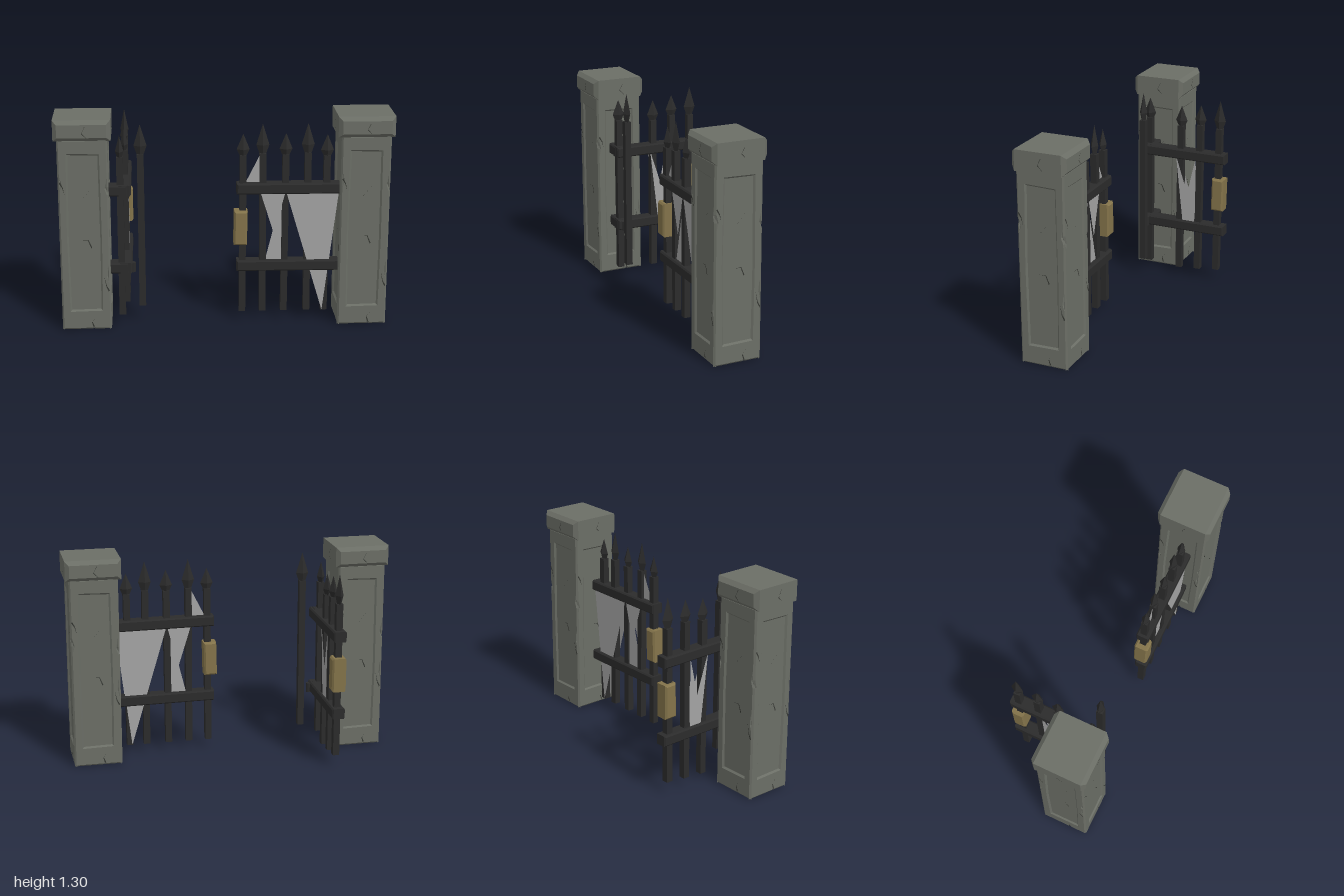
import * as THREE from 'three';

const mat = (name, color, extra = {}) => {
  const m = new THREE.MeshStandardMaterial({ color, ...extra });
  m.name = name;
  return m;
};

export function createModel() {
  const stone = mat('grey stone', 0x6b6e66);
  const dark = mat('dark crack', 0x353732, { side: THREE.DoubleSide });
  const iron = mat('black iron', 0x2b2b2b);
  const brass = mat('old brass', 0x83734a);
  const web = mat('cobweb grey', 0xa3a3a3, { side: THREE.DoubleSide });

  const add = (parent, name, geo, material, x = 0, y = 0, z = 0) => {
    const m = new THREE.Mesh(geo, material);
    m.name = name;
    m.position.set(x, y, z);
    parent.add(m);
    return m;
  };
  const poly = (pts) => new THREE.Shape(pts.map(([x, y]) => new THREE.Vector2(x, y)));

  // Box with chamfered edges, centred on its origin
  const chamferBox = (w, h, d, c) => {
    const x = w / 2 - c, y = h / 2 - c;
    const g = new THREE.ExtrudeGeometry(poly([[-x, -y], [x, -y], [x, y], [-x, y]]), {
      depth: d - 2 * c, bevelEnabled: true, bevelSize: c, bevelThickness: c, bevelSegments: 1,
    });
    return g.translate(0, 0, -d / 2 + c);
  };

  // Tapering crack along a polyline
  const crack = (pts, w = 0.008) => {
    const n = pts.length - 1;
    const side = (s) => pts.map(([x, y], i) => {
      const t = i === 0 ? 0.8 : i === n ? 0.05 : 0.5;
      return [x + s * t * w * 0.5, y + s * t * w * 0.5];
    });
    return new THREE.ShapeGeometry(poly([...side(-1), ...side(1).reverse()]));
  };

  // ---- Stone pillar: core, four framed faces with chipped edges, cap ----
  const H = 0.138;
  function pillar(name, x) {
    const p = new THREE.Group();
    p.name = name;
    p.position.set(x, 0, 0.17);
    add(p, 'pillarCore', new THREE.BoxGeometry(2 * H, 1.18, 2 * H), stone, 0, 0.595, 0);
    for (let i = 0; i < 4; i++) {
      const face = new THREE.Group();
      face.name = 'pillarFace';
      face.rotation.y = i * Math.PI / 2;
      const a = 0.07 * i;
      const frame = poly([
        [-H, 0.013], [0.03, 0.013], [0.04, 0.022], [0.05, 0.013], [H, 0.013],
        [H, 0.3 + a], [H - 0.012, 0.34 + a], [H - 0.008, 0.39 + a], [H, 0.42 + a],
        [H, 0.85 - a], [H - 0.014, 0.89 - a], [H, 0.96 - a], [H, 1.18],
        [-H, 1.18], [-H, 0.97 - a], [-H + 0.013, 0.92 - a], [-H, 0.87 - a],
      ]);
      frame.holes.push(poly([[-0.098, 0.118], [-0.104, 0.6], [-0.095, 1.105],
        [0.098, 1.1], [0.102, 0.55], [0.097, 0.122]]));
      add(face, 'panelFrame', new THREE.ExtrudeGeometry(frame, {
        depth: 0.001, bevelEnabled: true, bevelSize: 0.01, bevelThickness: 0.01, bevelSegments: 1,
      }), stone, 0, 0, H - 0.001);
      // Cracks on panel and frame
      add(face, 'panelCrack', crack([[-0.01, 0.82], [0.04, 0.88], [0.08, 0.92]], 0.006), dark, 0, 0, H + 0.001);
      add(face, 'panelCrack', crack([[0.04, 0.52], [0.02, 0.57], [-0.02, 0.57]], 0.007), dark, 0, 0, H + 0.001);
      add(face, 'frameCrack', crack([[0.137, 0.25 + a], [0.122, 0.28 + a], [0.11, 0.34 + a]]), dark, 0, 0, H + 0.0112);
      add(face, 'frameCrack', crack([[-0.137, 0.93], [-0.12, 0.9], [-0.11, 0.86]]), dark, 0, 0, H + 0.0112);
      add(face, 'frameCrack', crack([[0.04, 0.02], [0.03, 0.05], [0.05, 0.08]]), dark, 0, 0, H + 0.0112);
      add(face, 'capCrack', crack([[0.02, 1.27], [0, 1.23], [0.03, 1.2]], 0.007), dark, 0, 0, 0.1692);
      p.add(face);
    }
    // Cap with a wide top chamfer, slightly worn
    const cap = chamferBox(0.336, 0.126, 0.336, 0.024);
    const v = cap.attributes.position;
    for (let i = 0; i < v.count; i++) {
      if (v.getY(i) < -0.03 && Math.abs(v.getX(i)) < 0.15 && Math.abs(v.getZ(i)) < 0.15) {
        v.setXYZ(i, v.getX(i) * 1.06, v.getY(i), v.getZ(i) * 1.06);
      }
    }
    cap.computeVertexNormals();
    add(p, 'pillarCap', cap, stone, 0, 1.242, 0);
    return p;
  }

  // ---- Iron bar with a flattened four-sided spearhead ----
  function bar(parent, u, bottom, tip, head, lean = 0, z = 0) {
    const b = new THREE.Group();
    b.name = 'spearBar';
    b.position.set(u, bottom, z);
    b.rotation.z = lean;
    const len = tip - bottom, neck = len - head, wide = head * 0.32;
    add(b, 'shaft', new THREE.BoxGeometry(0.04, neck + 0.01, 0.04), iron, 0, (neck + 0.01) / 2, 0);
    const lower = new THREE.CylinderGeometry(0.039, 0.018, wide, 4, 1).toNonIndexed();
    const upper = new THREE.ConeGeometry(0.039, head - wide, 4, 1).toNonIndexed();
    for (const [g, y] of [[lower, neck + wide / 2], [upper, neck + wide + (head - wide) / 2]]) {
      g.scale(1, 1, 0.65);
      g.computeVertexNormals();
      add(b, 'spearhead', g, iron, 0, y, 0);
    }
    parent.add(b);
  }

  // Two horizontal rails and the lock plate of a gate
  function railsAndLock(g, u0, u1, lockU) {
    for (const y of [0.358, 0.845]) {
      const r = add(g, 'rail', chamferBox(u1 - u0, 0.066, 0.08, 0.008), iron, (u0 + u1) / 2, y, 0);
      r.rotation.z = -0.006;
    }
    const lock = add(g, 'lockPlate', chamferBox(0.08, 0.212, 0.088, 0.01), brass, lockU, 0.602, 0);
    lock.rotation.z = -0.02;
  }
  const cobweb = (g, pts, z) => add(g, 'cobweb', new THREE.ShapeGeometry(poly(pts)), web, 0, 0, z);

  const model = new THREE.Group();
  model.name = 'graveyardGate';
  model.add(pillar('leftPillar', 0.832), pillar('rightPillar', -0.832));

  // ---- Closed gate ----
  const closed = new THREE.Group();
  closed.name = 'closedGate';
  closed.position.z = 0.195;
  railsAndLock(closed, 0.075, 0.7, 0.099);
  [[0.11, 1.18, 0.14], [0.235, 1.24, 0.19], [0.365, 1.18, 0.14], [0.505, 1.24, 0.19], [0.612, 1.17, 0.14]]
    .forEach(([u, tip, head], i) => bar(closed, u, 0.06, tip, head, i % 2 ? 0.004 : -0.004));
  for (const z of [0.022, -0.022]) {
    cobweb(closed, [[0.215, 0.83], [0.37, 0.83], [0.3, 0.56]], z);
    cobweb(closed, [[0.25, 0.38], [0.38, 0.38], [0.35, 0.79]], z * 0.4);
    cobweb(closed, [[0.37, 0.83], [0.69, 0.83], [0.6, 0.06]], z);
  }
  cobweb(closed, [[0.125, 0.87], [0.235, 0.87], [0.225, 1.07]], 0);
  model.add(closed);

  // ---- Open gate, swung to the back ----
  const open = new THREE.Group();
  open.name = 'openGate';
  open.position.x = -0.595;
  open.rotation.y = Math.PI / 2;
  railsAndLock(open, -0.235, 0.338, 0.294);
  bar(open, -0.2, 0.055, 1.18, 0.14, 0, -0.024);
  bar(open, 0.022, 0.05, 1.16, 0.14, -0.007);
  bar(open, 0.152, 0.06, 1.18, 0.14, -0.008);
  bar(open, 0.282, 0.075, 1.22, 0.19, -0.008);
  for (const z of [0.022, -0.022]) {
    cobweb(open, [[0, 0.83], [0.05, 0.38], [0.13, 0.38], [0.137, 0.83], [0.08, 0.58]], z);
  }
  model.add(open);

  // Hinge stubs, broken rail knob and the loose bar beside the open gate
  for (const y of [0.36, 0.848]) {
    add(model, 'hingeStub', chamferBox(0.12, 0.066, 0.085, 0.008), iron, -0.635, y, 0.195);
  }
  add(model, 'railKnob', new THREE.CylinderGeometry(0.017, 0.017, 0.06, 8), iron, -0.55, 0.355, 0.195);
  const loose = new THREE.Group();
  loose.name = 'looseBar';
  loose.position.set(-0.496, 0, 0.195);
  bar(loose, 0, 0.11, 1.245, 0.19);
  model.add(loose);
  return model;
}
